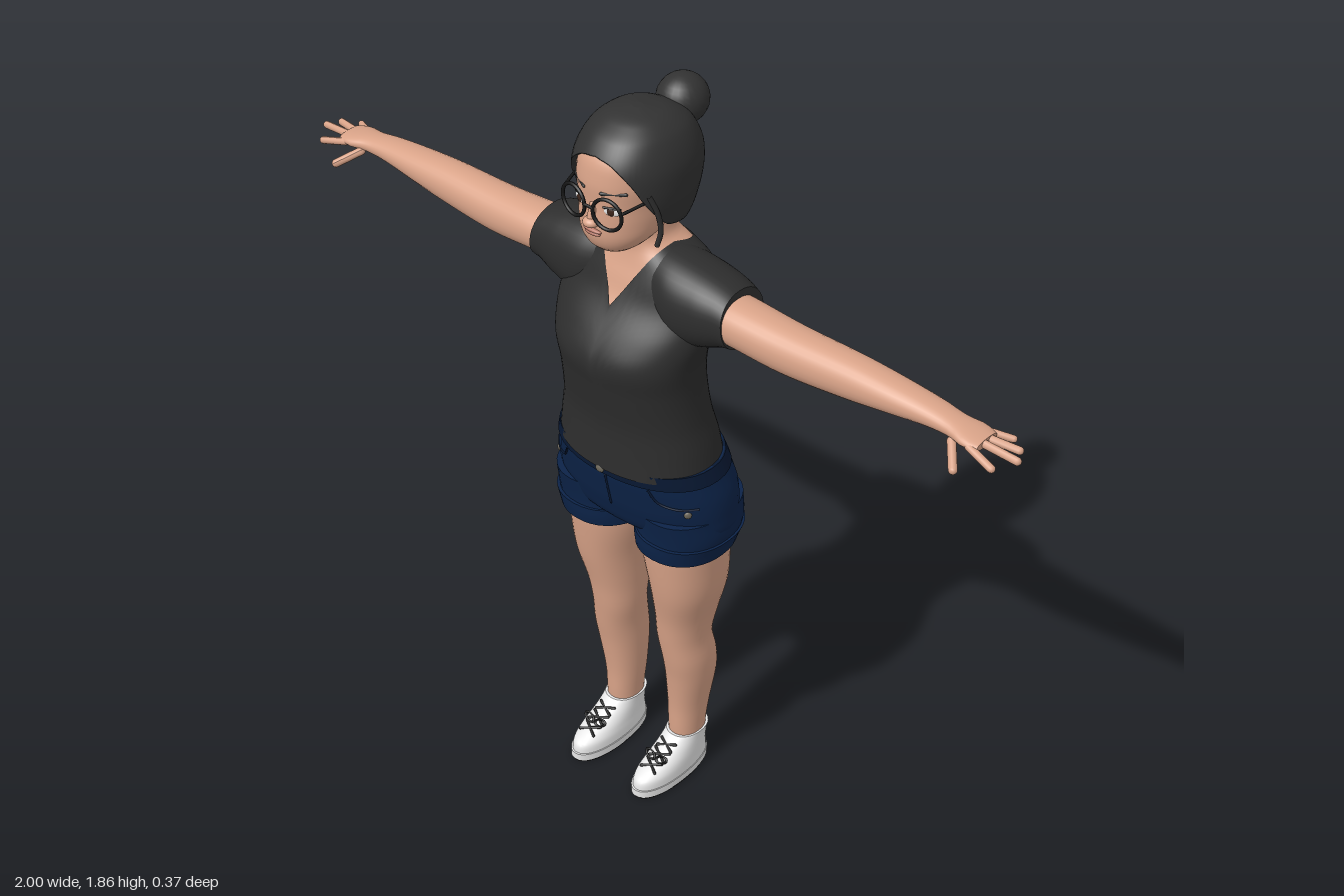
import * as THREE from 'three';

const mat = (name, color, side = THREE.FrontSide) => {
  const m = new THREE.MeshStandardMaterial({ color, side });
  m.name = name;
  return m;
};

// Smoothly interpolated cross-section [y, x0, x1, z0, z1] at height y
function sample(rows, y) {
  let i = 1;
  while (i < rows.length - 1 && rows[i][0] < y) i++;
  const a = rows[i - 1], b = rows[i];
  const p = rows[Math.max(i - 2, 0)], n = rows[Math.min(i + 1, rows.length - 1)];
  const h = b[0] - a[0], u = Math.min(1, Math.max(0, (y - a[0]) / h));
  return a.map((_, k) => {
    const m0 = (b[k] - p[k]) / (b[0] - p[0]) * h, m1 = (n[k] - a[k]) / (n[0] - a[0]) * h;
    const u2 = u * u, u3 = u2 * u;
    return (2 * u3 - 3 * u2 + 1) * a[k] + (u3 - 2 * u2 + u) * m0 + (3 * u2 - 2 * u3) * b[k] + (u3 - u2) * m1;
  });
}

// Point on the section outline; angle 0 is the front, growing towards +x
function pointAt(rows, y, th, e = 0.92) {
  const [, x0, x1, z0, z1] = sample(rows, y), s = Math.sin(th), c = Math.cos(th);
  return [(x0 + x1) / 2 + (x1 - x0) / 2 * Math.sign(s) * Math.abs(s) ** e, y,
    (z0 + z1) / 2 + (z1 - z0) / 2 * Math.sign(c) * Math.abs(c) ** e];
}

// Front surface depth of a symmetric loft at x, y
const frontZ = (rows, x, y) => {
  const r = sample(rows, y), s = Math.min(1, Math.abs(x - (r[1] + r[2]) / 2) / ((r[2] - r[1]) / 2));
  return pointAt(rows, y, Math.asin(s ** (1 / 0.92)))[2];
};

// Skin over the sections; lo and hi may follow the angle to cut necklines and hairlines
function loft(rows, { lo = () => rows[0][0], hi = () => rows[rows.length - 1][0], steps = 28, cols = 40, fold = 0, e } = {}) {
  const pos = [], idx = [], rings = [];
  const ring = (f) => {
    rings.push(pos.length / 3);
    for (let i = 0; i < cols; i++) {
      let th = i / cols * Math.PI * 2;
      if (th > Math.PI) th -= Math.PI * 2;
      pos.push(...f(th));
    }
    return rings[rings.length - 1];
  };
  if (fold) ring((th) => { const p = pointAt(rows, lo(th), th, e); return [p[0] * fold, p[1], p[2] * fold]; });
  for (let j = 0; j <= steps; j++) ring((th) => pointAt(rows, lo(th) + (hi(th) - lo(th)) * j / steps, th, e));
  for (let j = 0; j < rings.length - 1; j++) for (let i = 0; i < cols; i++) {
    const k = (i + 1) % cols, a = rings[j], b = rings[j + 1];
    idx.push(a + i, a + k, b + k, a + i, b + k, b + i);
  }
  const cap = (f, top) => {
    const s = ring((th) => pointAt(rows, f(th), th, e)), c = pos.length / 3, r = sample(rows, f(0));
    pos.push((r[1] + r[2]) / 2, f(0), (r[3] + r[4]) / 2);
    for (let i = 0; i < cols; i++) {
      const k = (i + 1) % cols;
      idx.push(c, top ? s + i : s + k, top ? s + k : s + i);
    }
  };
  if (!fold && lo(0) === lo(2)) cap(lo, false);
  if (hi(0) === hi(2)) cap(hi, true);
  const g = new THREE.BufferGeometry();
  g.setAttribute('position', new THREE.Float32BufferAttribute(pos, 3));
  g.setIndex(idx);
  g.computeVertexNormals();
  return g;
}
const sym = (rows) => rows.map(([y, w, z0, z1]) => [y, -w, w, z0, z1]);
// Sections along x, given as [x, bottom, top, back, front]
const sideLoft = (rows, o) => loft(rows.map(([x, b, t, z0, z1]) => [x, -t, -b, z0, z1]), o).rotateZ(-Math.PI / 2);

function limb(a, b, r) {
  const A = new THREE.Vector3(...a), B = new THREE.Vector3(...b), d = B.clone().sub(A);
  const g = new THREE.CapsuleGeometry(r, d.length(), 4, 10);
  g.applyQuaternion(new THREE.Quaternion().setFromUnitVectors(new THREE.Vector3(0, 1, 0), d.normalize()));
  return g.translate(...A.add(B).multiplyScalar(0.5).toArray());
}
const blob = (x, y, z, sx, sy, sz, turn = 0) =>
  new THREE.SphereGeometry(1, 24, 16).scale(sx, sy, sz).rotateY(turn).translate(x, y, z);

function mirrored(g) {
  const m = g.clone().scale(-1, 1, 1), ix = m.index.array;
  for (let i = 0; i < ix.length; i += 3) [ix[i], ix[i + 1]] = [ix[i + 1], ix[i]];
  m.computeVertexNormals();
  return m;
}

export function createModel() {
  const skin = mat('skin', 0xd9a388), shirt = mat('shirt', 0x2d2d2d, THREE.DoubleSide);
  const hair = mat('hair', 0x323232, THREE.DoubleSide), denim = mat('denim', 0x0c2348);
  const seam = mat('dark denim', 0x081832), white = mat('white', 0xe8e8e8), black = mat('black', 0x161616);
  const lip = mat('lips', 0xb87868), brown = mat('iris', 0x3a241a), metal = mat('metal', 0x6b6558);
  const model = new THREE.Group();
  const add = (name, g, m) => {
    const mesh = new THREE.Mesh(g, m);
    mesh.name = name;
    model.add(mesh);
  };
  const both = (name, g, m) => {
    add(name + 'Left', g, m);
    add(name + 'Right', mirrored(g), m);
  };

  // Torso: shirt cut along a V neckline, with the chest and neck inside it
  const torso = sym([[0.97, 0.204, -0.142, 0.15], [1.03, 0.196, -0.13, 0.147], [1.1, 0.183, -0.112, 0.148],
    [1.2, 0.176, -0.1, 0.165], [1.27, 0.182, -0.1, 0.176], [1.33, 0.195, -0.1, 0.148], [1.4, 0.2, -0.105, 0.1],
    [1.45, 0.195, -0.108, 0.08], [1.48, 0.17, -0.108, 0.068], [1.51, 0.1, -0.098, 0.06], [1.53, 0.07, -0.085, 0.06],
    [1.56, 0.061, -0.078, 0.062], [1.6, 0.06, -0.078, 0.06]]);
  const vNeck = (th) => {
    let a = 1.385, b = 1.56;
    for (let i = 0; i < 30; i++) {
      const y = (a + b) / 2;
      if (Math.abs(pointAt(torso, y, th)[0]) > (y - 1.385) * 0.56) a = y; else b = y;
    }
    return a;
  };
  const sideY = vNeck(Math.PI / 2);
  const neckline = (th) => Math.cos(th) >= 0 ? vNeck(th) : sideY + (1.502 - sideY) * -Math.cos(th);
  add('shirtBody', loft(torso, { hi: neckline, steps: 44, cols: 72 }), shirt);
  add('neckAndChest', loft(torso, { lo: () => 1.3, steps: 36, cols: 72 }).scale(0.965, 1, 0.965), skin);
  const sleeve = sideLoft([[0.07, 1.31, 1.518, -0.09, 0.07], [0.13, 1.305, 1.515, -0.1, 0.085],
    [0.2, 1.325, 1.505, -0.096, 0.08], [0.25, 1.345, 1.493, -0.086, 0.07], [0.275, 1.35, 1.484, -0.078, 0.066]]);
  const sp = sleeve.attributes.position;
  for (let i = 0; i < sp.count; i++) sp.setX(i, sp.getX(i) - (sp.getY(i) - 1.42) * 0.13);
  sleeve.computeVertexNormals();
  both('sleeve', sleeve, shirt);

  // Arms, hands and fingers
  both('arm', sideLoft([[0.2, 1.36, 1.47, -0.06, 0.06], [0.28, 1.362, 1.468, -0.06, 0.063], [0.42, 1.353, 1.461, -0.056, 0.057],
    [0.58, 1.362, 1.457, -0.055, 0.046], [0.68, 1.375, 1.45, -0.052, 0.039], [0.78, 1.388, 1.44, -0.046, 0.03],
    [0.84, 1.393, 1.432, -0.04, 0.03], [0.885, 1.396, 1.426, -0.046, 0.042], [0.915, 1.4, 1.42, -0.036, 0.034]],
  { steps: 36, cols: 28 }), skin);
  [['thumb', [0.85, 1.398, 0.028], [0.889, 1.37, 0.074], 0.01],
    ['indexFinger', [0.895, 1.408, 0.033], [0.96, 1.392, 0.045], 0.009],
    ['middleFinger', [0.905, 1.411, 0.008], [0.992, 1.402, 0.002], 0.009],
    ['ringFinger', [0.905, 1.41, -0.014], [0.975, 1.402, -0.03], 0.009],
    ['littleFinger', [0.89, 1.409, -0.034], [0.94, 1.397, -0.06], 0.008]]
    .forEach(([n, a, b, r]) => both(n, limb(a, b, r), skin));

  // Shorts with waistband, rolled cuffs, fly, button and rivets
  const hips = sym([[0.765, 0.2, -0.13, 0.06], [0.8, 0.232, -0.158, 0.1], [0.85, 0.236, -0.166, 0.12],
    [0.9, 0.232, -0.165, 0.132], [0.95, 0.218, -0.152, 0.142], [0.988, 0.206, -0.14, 0.144]]);
  add('shorts', loft(hips), denim);
  add('waistband', loft(hips, { lo: () => 0.953, steps: 4 }).scale(1.015, 1, 1.02), seam);
  both('shortsLeg', loft([[0.735, 0.006, 0.22, -0.138, 0.096], [0.79, 0.004, 0.234, -0.155, 0.1], [0.85, 0.02, 0.23, -0.155, 0.11]]), denim);
  both('cuff', loft([[0.732, 0.005, 0.224, -0.142, 0.1], [0.755, 0.003, 0.23, -0.15, 0.104], [0.778, 0.003, 0.238, -0.158, 0.106]], { steps: 6 }), denim);
  add('fly', limb([0.012, 0.86, frontZ(hips, 0.012, 0.86)], [0.012, 0.95, frontZ(hips, 0.012, 0.95)], 0.003), seam);
  add('button', blob(0, 0.965, 0.147, 0.012, 0.01, 0.005), metal);
  both('rivet', blob(0.195, 0.885, frontZ(hips, 0.195, 0.885), 0.009, 0.009, 0.005, 0.8), metal);
  both('pocketSeam', new THREE.TubeGeometry(new THREE.CatmullRomCurve3([[0.12, 0.95], [0.14, 0.915], [0.18, 0.9], [0.212, 0.9]]
    .map(([x, y]) => new THREE.Vector3(x, y, frontZ(hips, x, y)))), 16, 0.003, 6), seam);

  // Legs
  both('leg', loft([[0.08, 0.062, 0.138, -0.098, -0.003], [0.13, 0.06, 0.14, -0.1, 0], [0.2, 0.056, 0.146, -0.11, 0.002],
    [0.3, 0.052, 0.162, -0.12, 0.014], [0.36, 0.05, 0.166, -0.115, 0.025], [0.43, 0.043, 0.162, -0.103, 0.036],
    [0.5, 0.04, 0.172, -0.118, 0.046], [0.6, 0.034, 0.198, -0.13, 0.068], [0.7, 0.018, 0.207, -0.132, 0.082],
    [0.77, 0.014, 0.21, -0.132, 0.088]], { steps: 40 }), skin);

  // Shoes with soles and laces
  const shoe = [[0.02, 0.05, 0.148, -0.11, 0.137], [0.045, 0.052, 0.147, -0.108, 0.13], [0.06, 0.054, 0.146, -0.106, 0.105],
    [0.08, 0.056, 0.144, -0.105, 0.06], [0.1, 0.057, 0.143, -0.106, 0.025], [0.115, 0.056, 0.144, -0.108, 0.006]];
  both('shoe', loft(shoe), white);
  both('shoeSole', loft([[0.005, 0.048, 0.15, -0.112, 0.141], [0.024, 0.048, 0.15, -0.112, 0.141]], { steps: 2 }), white);
  both('outsole', loft([[0, 0.05, 0.148, -0.11, 0.138], [0.006, 0.05, 0.148, -0.11, 0.138]], { steps: 1 }), black);
  [0.062, 0.076, 0.09].forEach((y, i) => [-1, 1].forEach((s) => {
    const z = (h) => pointAt(shoe, h, 0)[2] + 0.001;
    both(`lace${i}${s > 0 ? 'A' : 'B'}`, limb([0.1 - 0.022 * s, y, z(y) - 0.006], [0.1 + 0.022 * s, y + 0.011, z(y + 0.011) - 0.006], 0.0035), black);
  }));
  [-1, 1].forEach((s) => both(s > 0 ? 'bowOuter' : 'bowInner',
    new THREE.TorusGeometry(0.011, 0.003, 6, 16).scale(1.4, 0.8, 1).rotateZ(s * 0.4).rotateX(-0.5).translate(0.1 + s * 0.017, 0.082, 0.066), black));

  // Head and face
  const head = sym([[1.535, 0.03, 0.05, 0.118], [1.55, 0.056, 0.02, 0.142], [1.58, 0.082, -0.03, 0.157], [1.62, 0.095, -0.08, 0.16],
    [1.66, 0.1, -0.1, 0.159], [1.72, 0.106, -0.11, 0.16], [1.78, 0.095, -0.1, 0.14], [1.82, 0.055, -0.05, 0.08]]);
  add('head', loft(head), skin);
  add('noseBridge', limb([0, 1.665, 0.155], [0, 1.632, 0.165], 0.009), skin);
  add('noseTip', blob(0, 1.626, 0.165, 0.019, 0.012, 0.017), skin);
  add('upperLip', blob(0, 1.604, 0.16, 0.025, 0.005, 0.007), lip);
  add('lowerLip', blob(0, 1.597, 0.159, 0.021, 0.006, 0.008), lip);
  const eyeZ = frontZ(head, 0.045, 1.66);
  both('eye', blob(0.045, 1.66, eyeZ, 0.019, 0.01, 0.004, 0.35), white);
  both('iris', blob(0.044, 1.66, eyeZ + 0.003, 0.009, 0.009, 0.003, 0.35), brown);
  both('eyelash', limb([0.028, 1.668, eyeZ + 0.008], [0.062, 1.669, eyeZ - 0.006], 0.0025), black);
  both('eyebrow', limb([0.024, 1.701, frontZ(head, 0.024, 1.701)], [0.07, 1.704, frontZ(head, 0.07, 1.704)], 0.004), hair);

  // Glasses
  both('lensFrame', new THREE.TorusGeometry(0.036, 0.0042, 8, 36).rotateY(0.15).translate(0.047, 1.662, 0.166), black);
  both('temple', limb([0.083, 1.675, 0.158], [0.113, 1.69, 0.05], 0.0035), black);
  add('glassesBridge', limb([-0.012, 1.668, 0.173], [0.012, 1.668, 0.173], 0.0035), black);

  // Hair swept back from a centre parting, with a bun and loose side strands
  const cap = sym([[1.56, 0.085, -0.095, 0.1], [1.6, 0.106, -0.112, 0.14], [1.65, 0.119, -0.128, 0.162], [1.7, 0.124, -0.137, 0.168],
    [1.75, 0.12, -0.132, 0.161], [1.8, 0.099, -0.103, 0.127], [1.825, 0.072, -0.065, 0.09], [1.836, 0.047, -0.032, 0.062], [1.842, 0.012, 0.005, 0.028]]);
  const edge = [[0, 1.775], [0.35, 1.765], [0.7, 1.73], [1, 1.67], [1.4, 1.605], [2.2, 1.575], [Math.PI, 1.565]];
  add('hairCap', loft(cap, { lo: (th) => sample(edge, Math.abs(th))[1], steps: 36, cols: 64, fold: 0.86 }), hair);
  add('bun', blob(0, 1.797, -0.128, 0.058, 0.058, 0.06), hair);
  both('sideStrand', new THREE.TubeGeometry(new THREE.CatmullRomCurve3([[0.104, 1.7, 0.1], [0.112, 1.65, 0.08], [0.11, 1.6, 0.068], [0.098, 1.56, 0.066]]
    .map((p) => new THREE.Vector3(...p))), 20, 0.006, 8), hair);

  return model;
}
